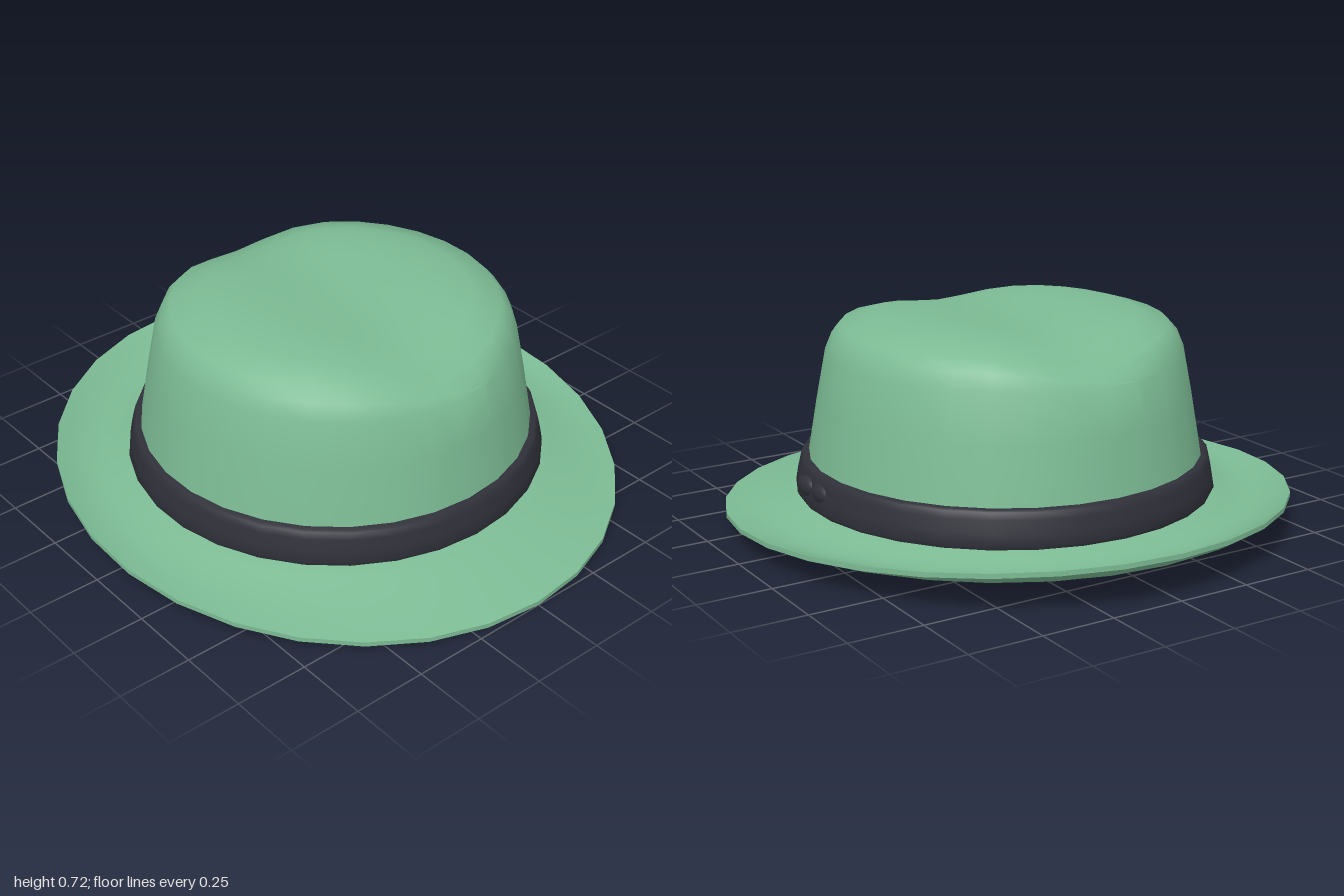
import * as THREE from 'three';
import { toCreasedNormals } from 'three/addons/utils/BufferGeometryUtils.js';

const SEGMENTS = 30;

// Turn a profile of [radius, y] pairs, then move each vertex by a rule.
function turned(name, profile, material, rule, crease = 0.7) {
  const geometry = new THREE.LatheGeometry(profile.map(([r, y]) => new THREE.Vector2(r, y)), SEGMENTS);
  const pos = geometry.attributes.position;
  const v = new THREE.Vector3();
  for (let i = 0; rule && i < pos.count; i++) {
    v.fromBufferAttribute(pos, i);
    rule(v);
    pos.setXYZ(i, v.x, v.y, v.z);
  }
  const mesh = new THREE.Mesh(toCreasedNormals(geometry, crease), material);
  mesh.name = name;
  return mesh;
}

// Lengthwise crease in the crown top, deeper at the front and back ends.
function pinchCrown(v) {
  const fade = THREE.MathUtils.smoothstep(v.y, 0.56, 0.66);
  const depth = 0.025 + 0.03 * (v.z / 0.55) ** 2;
  v.y -= fade * depth * Math.exp(-((v.x / 0.22) ** 2));
}

// Brim drops at the front, sags at the sides and curls up at the back.
function shapeBrim(v) {
  const r = Math.hypot(v.x, v.z);
  const s = THREE.MathUtils.clamp((r - 0.7) / 0.3, 0, 1);
  const c = v.z / r;
  v.y += THREE.MathUtils.lerp(0.112, 0.085 - 0.068 * c, s);
  v.y -= 0.025 * (1 - c) * Math.sin(Math.PI * s);
  v.x *= 1 - 0.05 * s;
}

export function createModel() {
  const hat = new THREE.Group();
  hat.name = 'hat';
  const felt = new THREE.MeshStandardMaterial({ name: 'green felt', color: 0x7cbb94 });
  const ribbon = new THREE.MeshStandardMaterial({ name: 'dark ribbon', color: 0x30303a });

  // Crown: inner shell from apex down, then outer shell back up.
  const outer = [
    [0.69, 0.105], [0.67, 0.23], [0.637, 0.42], [0.605, 0.585], [0.582, 0.64], [0.55, 0.676],
    [0.45, 0.707], [0.35, 0.721], [0.25, 0.724], [0.16, 0.725], [0.08, 0.725], [0, 0.725],
  ];
  const inner = outer.map(([r, y], i) => [Math.max(0, r - 0.02), i ? y - 0.015 : y]).reverse();
  hat.add(turned('crown', [...inner, ...outer], felt, pinchCrown, 0.9));

  // Brim: underside outwards, thin edge, then top side inwards.
  const under = [], over = [];
  for (let i = 0; i <= 8; i++) {
    const r = 0.67 + (0.33 * i) / 8;
    under.push([r, -0.016]);
    over.unshift([r, 0]);
  }
  hat.add(turned('brim', [...under, ...over], felt, shapeBrim));

  // Hat band with softened upper and lower edges.
  hat.add(turned('band', [
    [0.67, 0.112], [0.71, 0.112], [0.716, 0.125], [0.709, 0.165], [0.7, 0.205], [0.694, 0.228],
    [0.687, 0.234], [0.66, 0.234],
  ], ribbon, null, 0.9));

  // Two oval knots on the left side of the band.
  for (const z of [0.12, 0.02]) {
    const knot = new THREE.Mesh(new THREE.SphereGeometry(1, 20, 12), ribbon);
    knot.name = 'bandKnot';
    knot.scale.set(0.026, 0.034, 0.057);
    knot.position.set(0.69, 0.176, z);
    hat.add(knot);
  }
  return hat;
}
